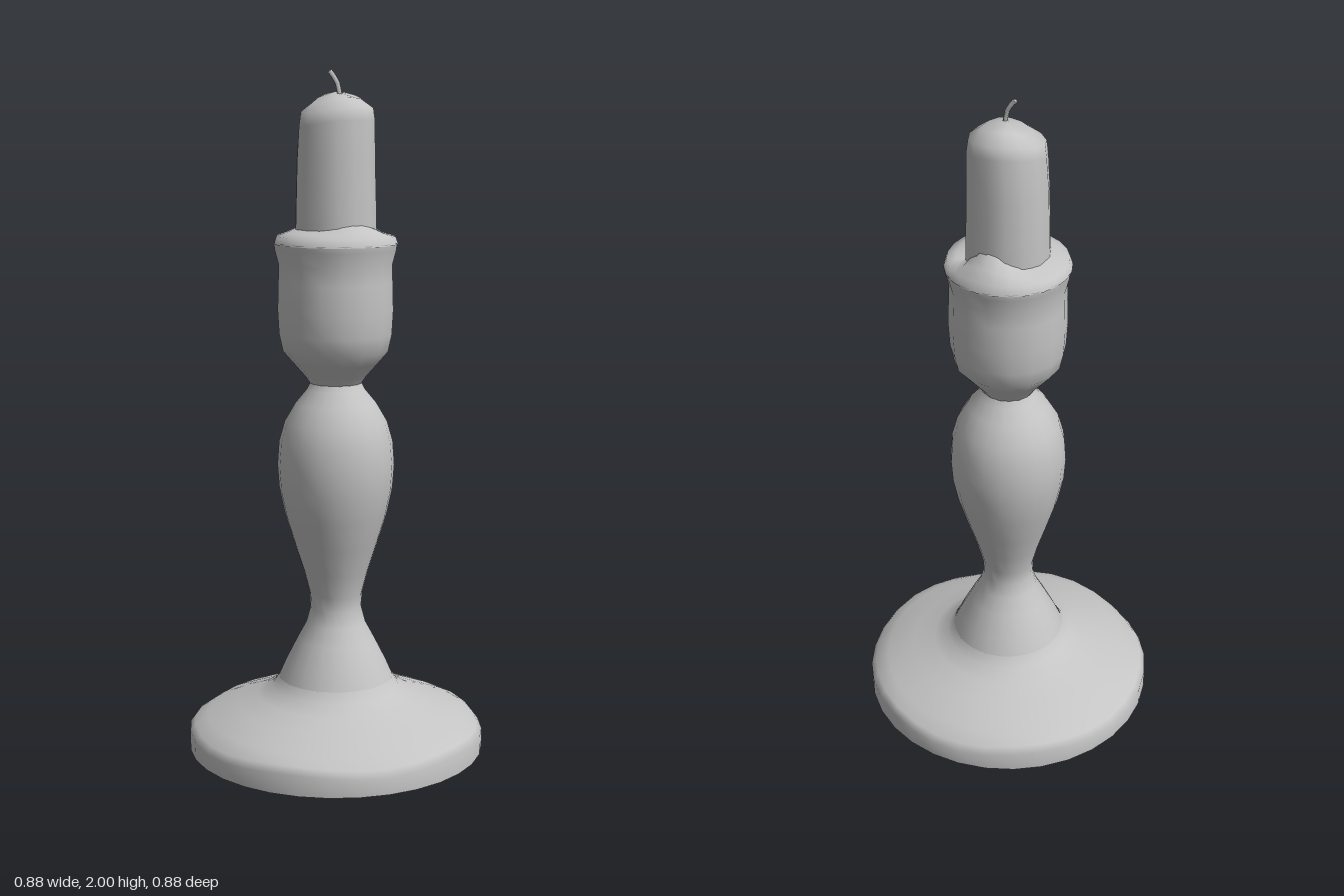
import * as THREE from 'three';
import { mergeVertices } from 'three/addons/utils/BufferGeometryUtils.js';

const grey = new THREE.MeshStandardMaterial({ color: 0xc4c4c4 });
grey.name = 'grey';

// Turned part from [radius, height] pairs listed upwards, optionally reshaped by a rule
function turned(name, profile, sides, rule) {
  let geo = new THREE.LatheGeometry(profile.map(([r, y]) => new THREE.Vector2(r, y)), sides);
  geo.deleteAttribute('uv');
  geo.deleteAttribute('normal');
  geo = mergeVertices(geo, 1e-5);
  if (rule) {
    const p = geo.attributes.position;
    const v = new THREE.Vector3();
    for (let i = 0; i < p.count; i++) {
      v.fromBufferAttribute(p, i);
      rule(v, Math.atan2(v.z, v.x));
      p.setXYZ(i, v.x, v.y, v.z);
    }
  }
  geo.computeVertexNormals();
  const mesh = new THREE.Mesh(geo, grey);
  mesh.name = name;
  return mesh;
}

// Soft bump around the axis, 1 at the given angle and 0 away from it
const bump = (a, centre, power) => Math.pow(Math.max(0, Math.cos(a - centre)), power);

export function createModel() {
  const group = new THREE.Group();
  group.name = 'candlestick';

  // Wide round foot with a slightly worn edge
  group.add(turned('foot', [
    [0.44, 0], [0.44, 0.055], [0.425, 0.075], [0.385, 0.1], [0.3, 0.135],
    [0.235, 0.16], [0.19, 0.185], [0.17, 0.215],
  ], 32, (v, a) => {
    if (v.y > 0.03 && v.y < 0.08) v.y += 0.006 * Math.sin(5 * a);
  }));
  const underside = new THREE.Mesh(new THREE.CircleGeometry(0.44, 32), grey);
  underside.name = 'underside';
  underside.rotation.x = Math.PI / 2;
  group.add(underside);

  // Baluster stem
  group.add(turned('stem', [
    [0.185, 0.18], [0.17, 0.215], [0.148, 0.265], [0.115, 0.33], [0.088, 0.38],
    [0.076, 0.425], [0.078, 0.47], [0.096, 0.54], [0.122, 0.62], [0.15, 0.71],
    [0.167, 0.79], [0.172, 0.86], [0.167, 0.93], [0.15, 0.99], [0.118, 1.045],
    [0.085, 1.085], [0.073, 1.11],
  ], 20));

  // Candle cup
  group.add(turned('cup', [
    [0.073, 1.1], [0.09, 1.125], [0.125, 1.165], [0.155, 1.2], [0.166, 1.25],
    [0.17, 1.32], [0.168, 1.4], [0.166, 1.45], [0.178, 1.495], [0.18, 1.515],
  ], 16));

  // Melted wax over the rim, rising on one side with a hollow beside it
  group.add(turned('meltedWax', [
    [0.18, 1.51], [0.172, 1.533], [0.145, 1.542], [0.122, 1.552], [0.1, 1.555],
  ], 24, (v, a) => {
    const r = Math.hypot(v.x, v.z);
    const inner = (0.18 - r) / 0.08;
    v.y += inner * (0.06 * bump(a, -0.25, 6) - 0.03 * bump(a, 0.7, 14) + 0.02 * bump(a, 2, 6));
  }));

  // Burnt-down candle with an uneven top
  group.add(turned('candle', [
    [0.12, 1.5], [0.118, 1.6], [0.114, 1.75], [0.113, 1.86], [0.108, 1.895],
    [0.07, 1.922], [0, 1.94],
  ], 14, (v, a) => {
    if (v.y > 1.8 && v.y < 1.93) {
      v.y += 0.012 * Math.cos(a) - 0.008 * Math.sin(2 * a);
      if (v.z < 0) v.z *= 0.92;
    }
  }));

  // Bent wick
  const path = new THREE.CatmullRomCurve3([
    new THREE.Vector3(-0.008, 1.925, 0.02),
    new THREE.Vector3(-0.01, 1.965, 0.012),
    new THREE.Vector3(-0.018, 1.997, -0.008),
  ]);
  const wick = new THREE.Mesh(new THREE.TubeGeometry(path, 4, 0.007, 5), grey);
  wick.name = 'wick';
  group.add(wick);
  const tip = new THREE.Mesh(new THREE.SphereGeometry(0.007, 6, 4), grey);
  tip.name = 'wickTip';
  tip.position.set(-0.018, 1.993, -0.007);
  group.add(tip);

  return group;
}
